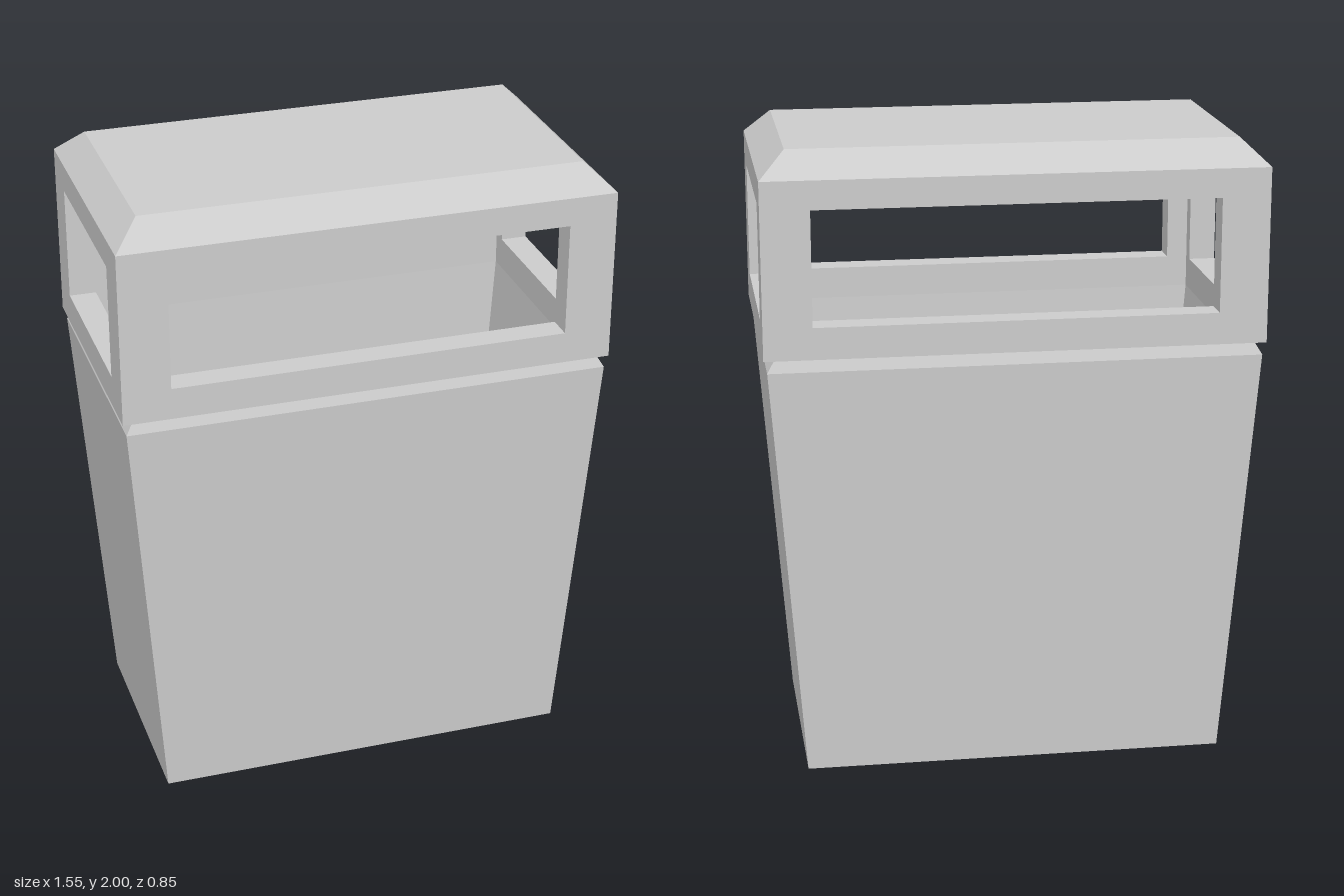
import * as THREE from 'three';

const material = new THREE.MeshStandardMaterial({ color: 0xcccccc, flatShading: true });

// Closed loft through rectangular rings [halfX, y, halfZ], capped at both ends
function loftRings(rings) {
  const points = [];
  const faces = [];
  for (const [x, y, z] of rings) points.push(-x, y, z, x, y, z, x, y, -z, -x, y, -z);
  for (let r = 0; r < rings.length - 1; r++) {
    for (let i = 0; i < 4; i++) {
      const a = r * 4 + i;
      const b = r * 4 + (i + 1) % 4;
      faces.push(a, b, b + 4, a, b + 4, a + 4);
    }
  }
  const e = (rings.length - 1) * 4;
  faces.push(0, 2, 1, 0, 3, 2, e, e + 1, e + 2, e, e + 2, e + 3);
  const indexed = new THREE.BufferGeometry();
  indexed.setAttribute('position', new THREE.Float32BufferAttribute(points, 3));
  indexed.setIndex(faces);
  const geometry = indexed.toNonIndexed();
  geometry.computeVertexNormals();
  return geometry;
}

// Upright panel with a rectangular window, extruded along +z
function windowPanel(halfWidth, halfWindow, depth) {
  const rect = (path, h, y0, y1) =>
    path.moveTo(-h, y0).lineTo(h, y0).lineTo(h, y1).lineTo(-h, y1).closePath();
  const shape = rect(new THREE.Shape(), halfWidth, 1.37, 1.92);
  shape.holes.push(rect(new THREE.Path(), halfWindow, 1.47, 1.83));
  return new THREE.ExtrudeGeometry(shape, { depth, bevelEnabled: false });
}

export function createModel() {
  const model = new THREE.Group();
  model.name = 'litterBin';
  const add = (name, geometry, parent = model) => {
    const mesh = new THREE.Mesh(geometry, material);
    mesh.name = name;
    parent.add(mesh);
    return mesh;
  };

  const X = 0.777, Z = 0.427, wall = 0.085;

  // Tapered hollow body: outer walls, chamfered neck, rim, inner walls, floor
  add('body', loftRings([
    [0.667, 0, 0.368], [0.766, 1.33, 0.421], [0.742, 1.37, 0.405],
    [X - wall, 1.37, Z - wall], [0.585, 0.085, 0.286],
  ]));

  // Hood: four windowed walls under a chamfered roof
  const hood = new THREE.Group();
  hood.name = 'hood';
  model.add(hood);
  for (const side of [1, -1]) {
    const long = add(side > 0 ? 'frontFrame' : 'backFrame', windowPanel(X, 0.626, wall), hood);
    long.position.z = side > 0 ? Z - wall : -Z;
    const short = add(side > 0 ? 'leftFrame' : 'rightFrame', windowPanel(Z - wall, 0.295, wall), hood);
    short.rotation.y = Math.PI / 2;
    short.position.x = side > 0 ? X - wall : -X;
  }
  add('roof', loftRings([
    [X - wall, 1.92, Z - wall], [X, 1.92, Z], [0.694, 2, 0.343],
  ]), hood);

  return model;
}
